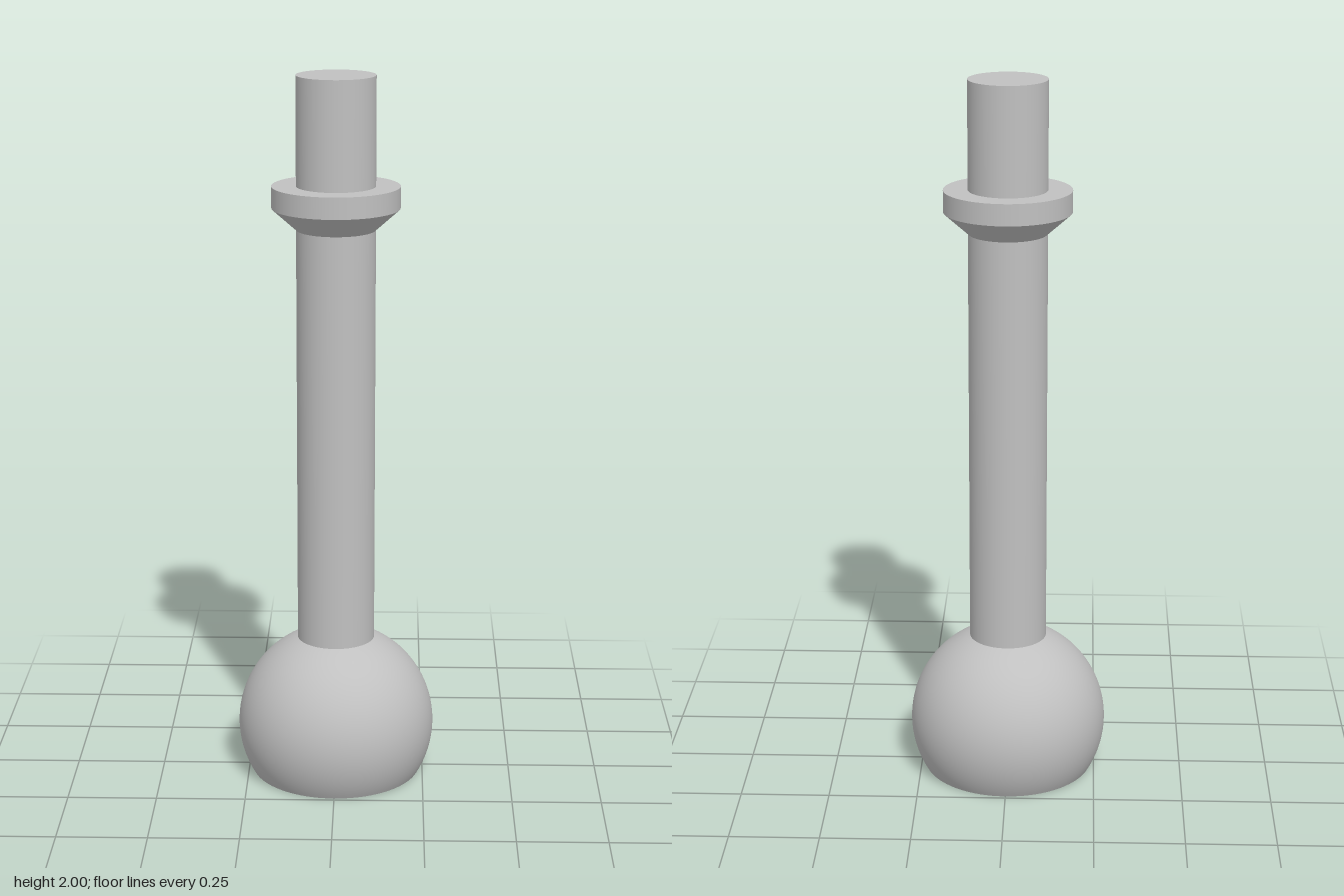
import * as THREE from 'three';

const SEGMENTS = 96;

export function createModel() {
  const model = new THREE.Group();
  model.name = 'ballEndedPin';
  const metal = new THREE.MeshStandardMaterial({ color: 0xc0c0c0 });
  metal.name = 'light grey metal';

  const add = (name, geometry, y = 0) => {
    const mesh = new THREE.Mesh(geometry, metal);
    mesh.name = name;
    mesh.position.y = y;
    model.add(mesh);
    return mesh;
  };

  const shaftRadius = 0.109, collarRadius = 0.176;
  const ballRadius = 0.279, ballCentre = 0.142;

  // Ball, cut flat at the ground and where it meets the shaft
  const start = -Math.asin(ballCentre / ballRadius);
  const end = Math.acos(shaftRadius / ballRadius);
  const arc = [];
  for (let i = 0; i <= 40; i++) {
    const a = start + (end - start) * i / 40;
    arc.push(new THREE.Vector2(ballRadius * Math.cos(a), ballCentre + ballRadius * Math.sin(a)));
  }
  add('ball', new THREE.LatheGeometry(arc, SEGMENTS));

  // Flat underside of the ball
  add('ballBase', new THREE.CircleGeometry(arc[0].x, SEGMENTS).rotateX(Math.PI / 2));

  // Shaft from the ball to the tip
  const shaftBottom = arc[40].y;
  add('shaft', new THREE.CylinderGeometry(shaftRadius, shaftRadius, 2 - shaftBottom, SEGMENTS),
    (2 + shaftBottom) / 2);

  // Collar: straight rim above a tapered underside
  const collar = [[shaftRadius, 1.58], [collarRadius, 1.64], [collarRadius, 1.7], [shaftRadius, 1.7]];
  ['collarTaper', 'collarRim', 'collarTop'].forEach((name, i) => {
    const edge = [collar[i], collar[i + 1]].map(([r, y]) => new THREE.Vector2(r, y));
    add(name, new THREE.LatheGeometry(edge, SEGMENTS));
  });

  return model;
}
